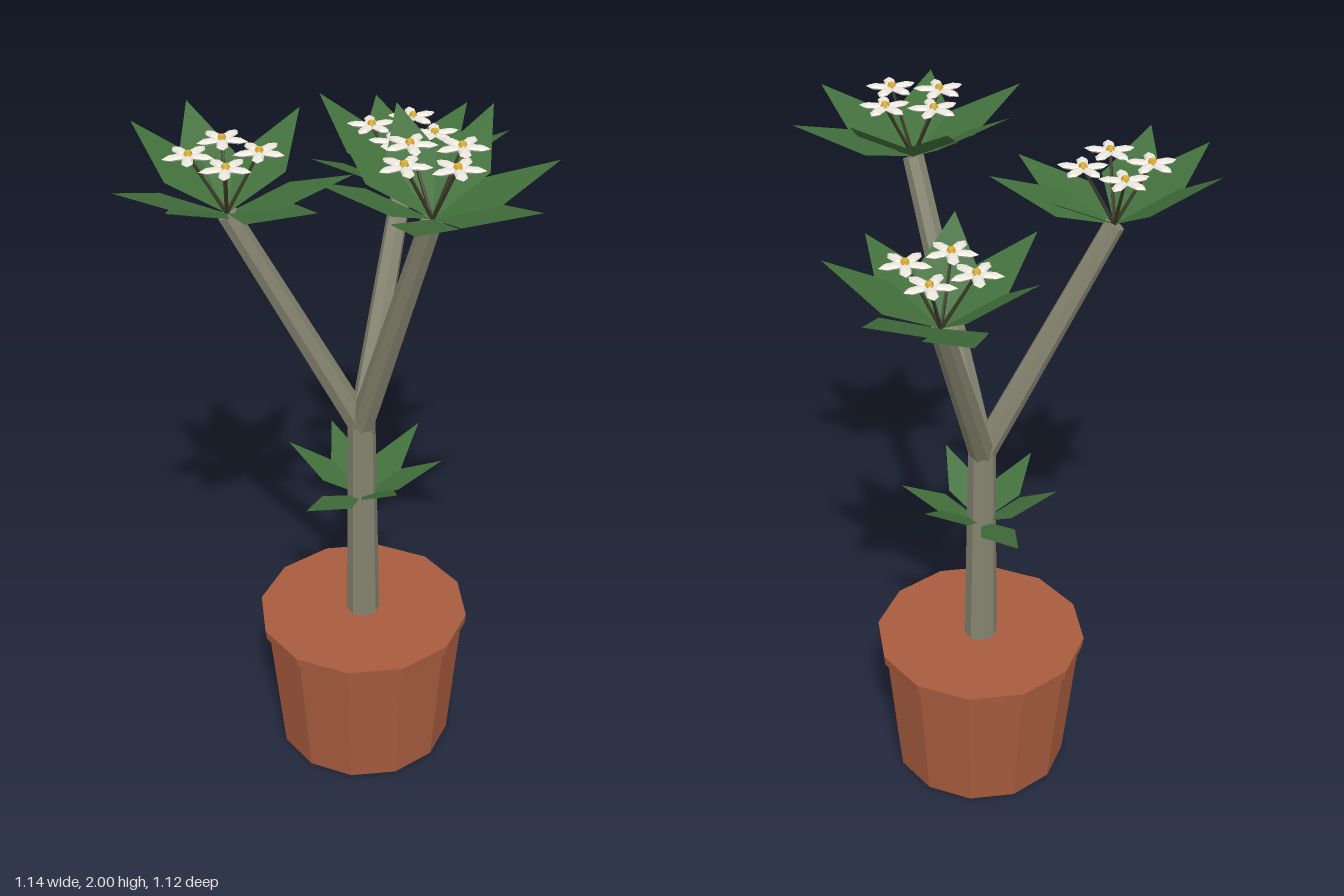
import * as THREE from 'three';

const mat = (color, side = THREE.FrontSide) => {
  const m = new THREE.MeshStandardMaterial({ flatShading: true, side });
  m.color.set(color);
  return m;
};
const terracotta = mat(0xa85c3e);
const bark = mat(0x85836f);
const leafGreen = mat(0x42703c, THREE.DoubleSide);
const stalkBrown = mat(0x3a3a26);
const petalWhite = mat(0xece8df);
const pollen = mat(0xd8ac30);

const CX = -0.03, CZ = -0.06; // axis of pot and trunk

function add(parent, name, geometry, material, x = 0, y = 0, z = 0) {
  const mesh = new THREE.Mesh(geometry, material);
  mesh.name = name;
  mesh.position.set(x, y, z);
  parent.add(mesh);
  return mesh;
}

// Tapered rod from a to b
function rod(parent, name, a, b, r0, r1, sides, material) {
  const dir = b.clone().sub(a);
  const mid = a.clone().add(b).multiplyScalar(0.5);
  const mesh = add(parent, name, new THREE.CylinderGeometry(r1, r0, dir.length(), sides), material, mid.x, mid.y, mid.z);
  mesh.quaternion.setFromUnitVectors(new THREE.Vector3(0, 1, 0), dir.normalize());
}

// Rosette of flat diamond leaves; each leaf is [degrees from +x to +z, reach, rise]
function rosette(parent, name, centre, leaves, halfWidth) {
  const group = new THREE.Group();
  group.name = name;
  group.position.copy(centre);
  for (const [deg, reach, rise] of leaves) {
    const w = halfWidth, m = reach * 0.46;
    const geo = new THREE.BufferGeometry();
    geo.setAttribute('position', new THREE.Float32BufferAttribute(
      [0, 0, 0, m, rise * 0.46, w, reach, rise, 0, m, rise * 0.46, -w], 3));
    geo.setIndex([0, 1, 2, 0, 2, 3]);
    geo.computeVertexNormals();
    add(group, 'leaf', geo, leafGreen).rotation.y = -THREE.MathUtils.degToRad(deg);
  }
  parent.add(group);
}

// Five-petalled flower
function flower(parent, position, turn) {
  const group = new THREE.Group();
  group.name = 'flower';
  group.position.copy(position);
  group.rotation.y = turn;
  for (let i = 0; i < 5; i++) {
    const a = (i / 5) * Math.PI * 2;
    const petal = add(group, 'petal', new THREE.SphereGeometry(1, 6, 4), petalWhite,
      Math.cos(a) * 0.033, 0, -Math.sin(a) * 0.033);
    petal.scale.set(0.034, 0.007, 0.016);
    petal.rotation.y = a;
  }
  add(group, 'flowerCentre', new THREE.SphereGeometry(0.012, 6, 4), pollen, 0, 0.004, 0);
  parent.add(group);
}

export function createModel() {
  const model = new THREE.Group();
  model.name = 'pottedTree';

  // Pot with a slightly wider rim
  add(model, 'pot', new THREE.CylinderGeometry(0.287, 0.25, 0.41, 12), terracotta, CX, 0.205, CZ);
  add(model, 'potRim', new THREE.CylinderGeometry(0.3, 0.297, 0.03, 12), terracotta, CX, 0.42, CZ);

  // Trunk and its low ring of leaves
  add(model, 'trunk', new THREE.CylinderGeometry(0.038, 0.047, 0.66, 8), bark, CX, 0.75, CZ);
  rosette(model, 'trunkLeaves', new THREE.Vector3(CX, 0.83, CZ), [
    [8, 0.22, 0.14], [54, 0.22, 0.12], [115, 0.21, 0.13],
    [178, 0.25, 0.09], [248, 0.21, 0.14], [302, 0.26, 0.09],
  ], 0.05);

  // Branches, each ending in a rosette and four flowers
  const branches = [
    {
      tip: [-0.27, 1.72, -0.29], phase: 45,
      leaves: [[197, 0.31, 0.14], [261, 0.275, 0.19], [300, 0.31, 0.18], [358, 0.3, 0.18],
        [58, 0.317, 0.12], [93, 0.31, 0.1], [164, 0.31, 0.14]],
    },
    {
      tip: [0.28, 1.63, -0.16], phase: 70,
      leaves: [[266, 0.27, 0.2], [309, 0.315, 0.13], [0, 0.29, 0.14], [58, 0.28, 0.17],
        [107, 0.318, 0.12], [150, 0.28, 0.17], [194, 0.3, 0.16]],
    },
    {
      tip: [-0.13, 1.81, 0.24], phase: 14,
      leaves: [[92, 0.315, 0.115], [151, 0.31, 0.11], [210, 0.3, 0.15], [268, 0.295, 0.18],
        [305, 0.285, 0.18], [354, 0.285, 0.19], [39, 0.31, 0.12]],
    },
  ];
  const fork = new THREE.Vector3(CX, 1.06, CZ);
  branches.forEach(({ tip, phase, leaves }, b) => {
    const end = new THREE.Vector3(...tip);
    rod(model, 'branch', fork, end, 0.036, 0.028, 7, bark);
    rosette(model, 'branchLeaves', end, leaves, 0.08);
    for (let i = 0; i < 4; i++) {
      const a = THREE.MathUtils.degToRad(phase + i * 90);
      const top = end.clone().add(new THREE.Vector3(Math.cos(a) * 0.087, 0.16, Math.sin(a) * 0.087));
      rod(model, 'flowerStalk', end, top, 0.005, 0.004, 5, stalkBrown);
      flower(model, top, b * 0.7 + i * 1.3);
    }
  });
  return model;
}
